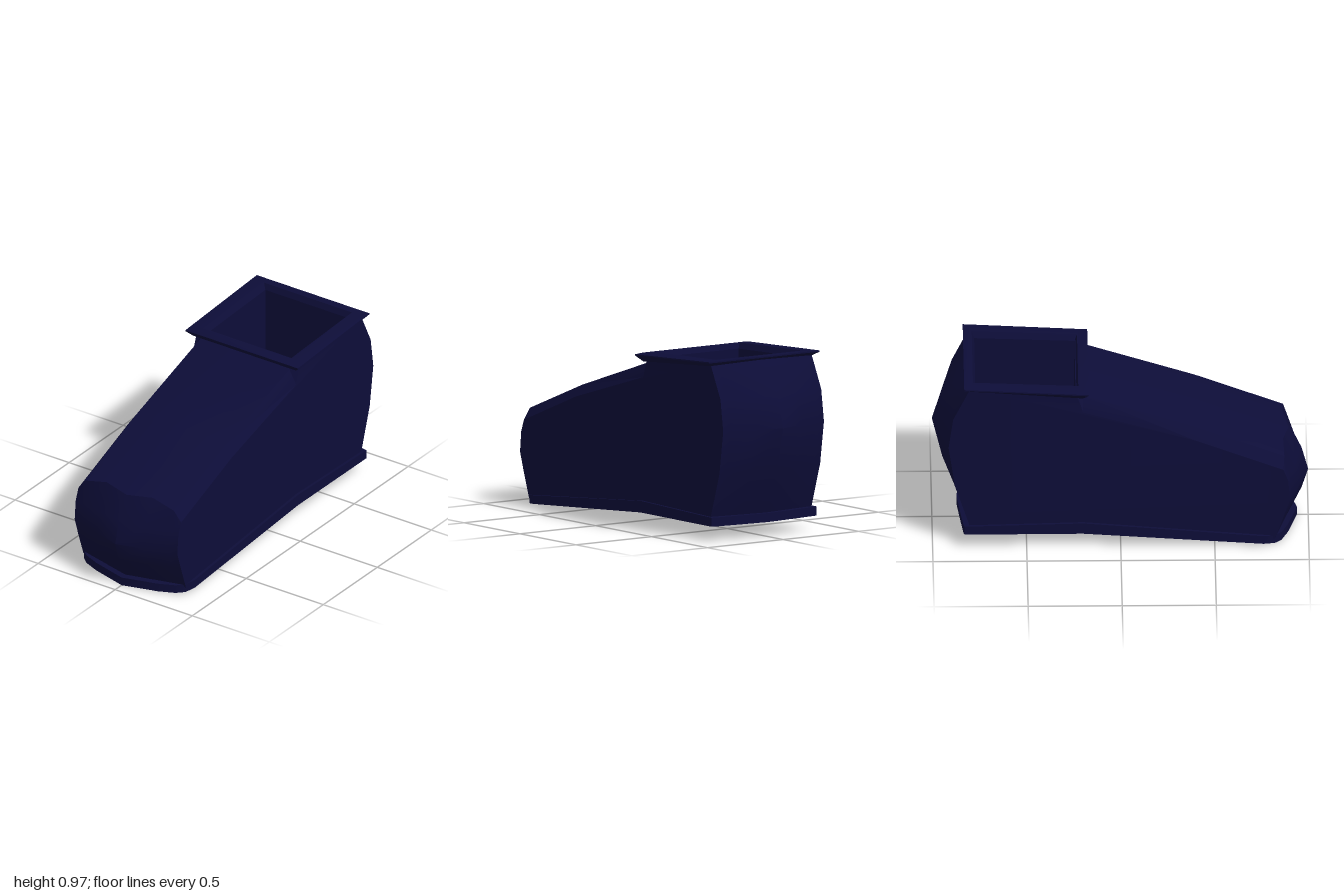
import * as THREE from 'three';
import { toCreasedNormals } from 'three/addons/utils/BufferGeometryUtils.js';

// Skin a row of closed rings; optionally leave one strip open and cap the flat ends
function loft(rings, { skip = -1, caps = false } = {}) {
  const pos = [];
  const n = rings[0].length;
  const tri = (...pts) => pts.forEach((p) => pos.push(...p));
  for (let i = 0; i < rings.length - 1; i++) {
    for (let j = 0; j < n; j++) {
      if (j === skip) continue;
      const k = (j + 1) % n;
      const [a, b, c, d] = [rings[i][j], rings[i][k], rings[i + 1][k], rings[i + 1][j]];
      tri(a, d, c);
      tri(a, c, b);
    }
  }
  if (caps) {
    [[rings[0], 1], [rings[rings.length - 1], -1]].forEach(([ring, sign]) => {
      const flat = ring.map(([, y, z]) => new THREE.Vector2(z, y));
      THREE.ShapeUtils.triangulateShape(flat, []).forEach(([a, b, c]) => {
        const area = flat[b].clone().sub(flat[a]).cross(flat[c].clone().sub(flat[a]));
        if (area * sign > 0) tri(ring[a], ring[b], ring[c]);
        else tri(ring[a], ring[c], ring[b]);
      });
    });
  }
  const geo = new THREE.BufferGeometry();
  geo.setAttribute('position', new THREE.Float32BufferAttribute(pos, 3));
  return toCreasedNormals(geo, 0.6);
}

// Mirror half-width columns to get the full row from -x to +x
function mirrored(columns, profile) {
  const right = columns.slice(1).reverse().map((c) => [-c[0], ...c.slice(1)]);
  return [...right, ...columns].map(profile);
}

// Body side profile at one column: pointed toe and heel, chamfered upper edge
function bodyProfile([x, toeZ, toeY, midY, throatY]) {
  const t = Math.abs(x) / 0.333;
  const f = 0.1 * t;
  const b = 0.085 * t;
  return [
    [0.9 - f * 0.8, 0.04], [0.965 - f, 0.17], [1 - f, 0.28],
    [0.965 - f * 0.75, 0.41 - 0.02 * t], [toeZ, toeY], [0.4, midY], [-0.2, throatY],
    [-0.24, 0.93], [-0.815 + b * 0.15, 0.95],
    [-0.95 + b * 0.7, 0.77], [-1 + b, 0.6], [-0.945 + b * 0.75, 0.37], [-0.84 + b * 0.5, 0.11],
    [-0.2, 0.11],
  ].map(([z, y]) => [x, y, z]);
}

// Sole profile at one column: sloped forefoot, level heel
function soleProfile([x, front, back]) {
  const y = 0.003 + (0.94 - front) * 0.075;
  return [
    [front, y], [front, y + 0.046], [-0.2, 0.146], [back, 0.13], [back, 0.082], [-0.2, 0.084],
  ].map(([z, h]) => [x, h, z]);
}

// Rectangle loop with separate front and back heights
const rect = ([hx, zf, zb, yf, yb]) => [[hx, yf, zf], [-hx, yf, zf], [-hx, yb, zb], [hx, yb, zb]];

export function createModel() {
  const group = new THREE.Group();
  const navy = new THREE.MeshStandardMaterial({ color: 0x0d0d38 });
  navy.name = 'darkNavy';
  const add = (name, geo) => {
    const mesh = new THREE.Mesh(geo, navy);
    mesh.name = name;
    group.add(mesh);
    return mesh;
  };

  // Upper, open where the collar sits
  const bodyColumns = [
    [0, 0.895, 0.532, 0.72, 0.895],
    [0.15, 0.865, 0.547, 0.72, 0.895],
    [0.29, 0.87, 0.515, 0.695, 0.888],
    [0.333, 0.865, 0.455, 0.635, 0.81],
  ];
  add('upper', loft(mirrored(bodyColumns, bodyProfile), { skip: 7, caps: true }));

  // Sole with rounded front corners
  const soleColumns = [
    [0, 0.94, -0.87], [0.2, 0.89, -0.85], [0.29, 0.855, -0.84],
    [0.33, 0.82, -0.835], [0.348, 0.76, -0.83],
  ];
  add('sole', loft(mirrored(soleColumns, soleProfile), { caps: true }));

  // Flared collar and its stepped inner lip
  add('collar', loft([
    [0.333, -0.2, -0.805, 0.895, 0.94],
    [0.365, -0.172, -0.832, 0.925, 0.96],
    [0.365, -0.17, -0.832, 0.932, 0.967],
    [0.345, -0.215, -0.805, 0.945, 0.97],
    [0.285, -0.225, -0.785, 0.945, 0.968],
    [0.268, -0.24, -0.772, 0.915, 0.935],
  ].map(rect)));

  // Inner lining walls and insole
  add('lining', loft([
    [0.268, -0.24, -0.772, 0.915, 0.935],
    [0.268, -0.24, -0.772, 0.2, 0.2],
  ].map(rect)));
  const insole = add('insole', new THREE.PlaneGeometry(0.536, 0.532).rotateX(-Math.PI / 2));
  insole.position.set(0, 0.2, -0.506);

  return group;
}
